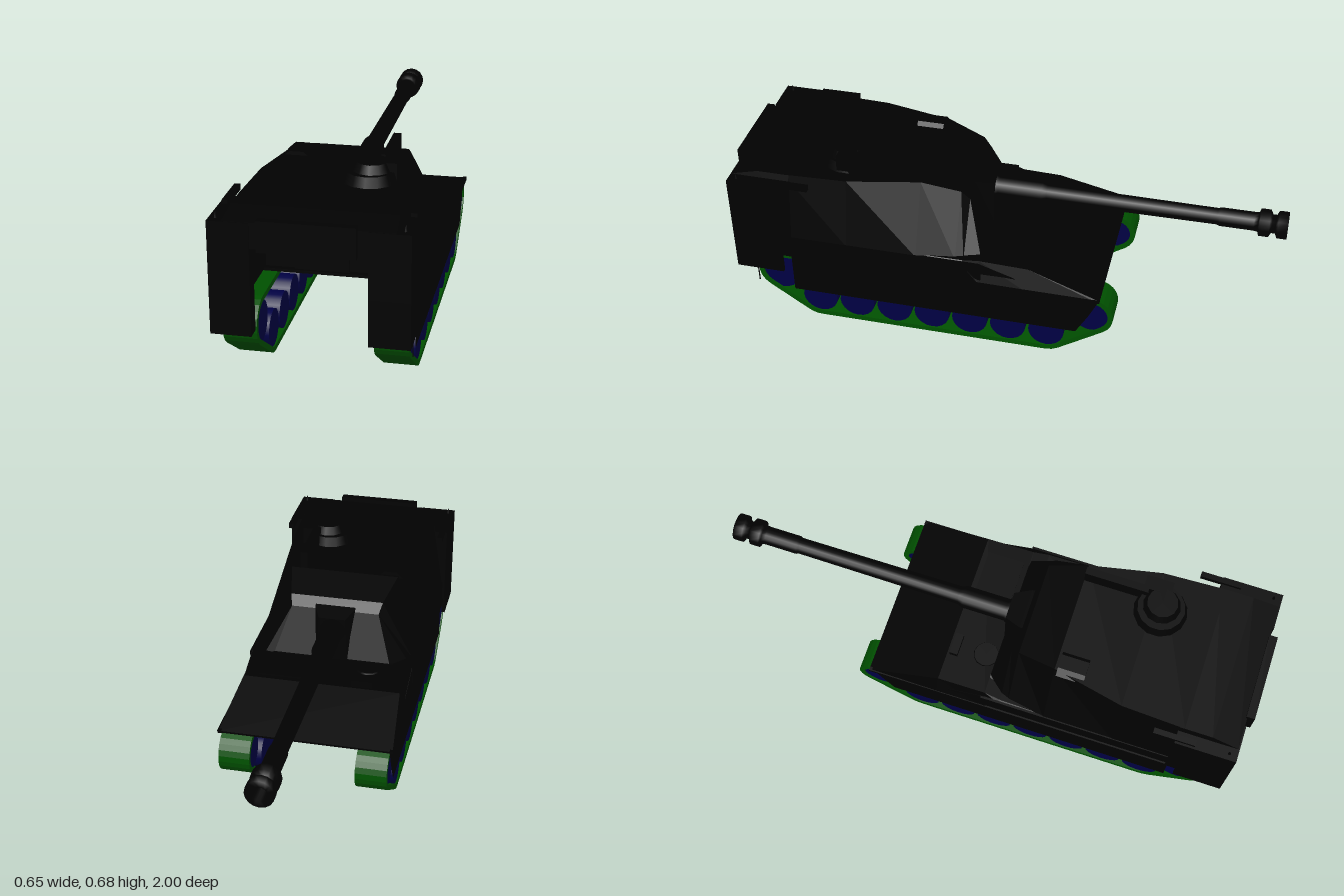
import * as THREE from 'three';

const mat = (name, color) => {
  const m = new THREE.MeshStandardMaterial({ color, side: THREE.DoubleSide });
  m.name = name;
  return m;
};

export function createModel() {
  const group = new THREE.Group();
  const black = mat('hull black', 0x010101);
  const green = mat('track green', 0x005000);
  const blue = mat('wheel blue', 0x000042);

  const add = (name, geo, m = black) => {
    const mesh = new THREE.Mesh(geo, m);
    mesh.name = name;
    group.add(mesh);
    return mesh;
  };
  const box = (name, x0, x1, y0, y1, z0, z1) =>
    add(name, new THREE.BoxGeometry(x1 - x0, y1 - y0, z1 - z0))
      .position.set((x0 + x1) / 2, (y0 + y1) / 2, (z0 + z1) / 2);
  const disc = (name, x, y, z, rTop, rBottom, h, sides = 12) =>
    add(name, new THREE.CylinderGeometry(rTop, rBottom, h, sides)).position.set(x, y + h / 2, z);

  // Side profile of (z, y) points, extruded across x
  const slab = (name, pts, x0, x1, m = black, hole = null) => {
    const shape = new THREE.Shape(pts.map(([z, y]) => new THREE.Vector2(z, y)));
    if (hole) shape.holes.push(new THREE.Path(hole.map(([z, y]) => new THREE.Vector2(z, y))));
    const geo = new THREE.ExtrudeGeometry(shape, { depth: x1 - x0, bevelEnabled: false });
    geo.rotateY(-Math.PI / 2).translate(x1, 0, 0);
    return add(name, geo, m);
  };

  // Trapezoid sections [z, bottom half width, top half width, bottom y, top y]
  const loft = (name, sections) => {
    const rings = sections.map(([z, hb, ht, yb, yt]) =>
      [[hb, yb, z], [ht, yt, z], [-ht, yt, z], [-hb, yb, z]]);
    const pos = [];
    const quad = (a, b, c, d) => pos.push(...a, ...b, ...c, ...a, ...c, ...d);
    for (let i = 0; i < rings.length - 1; i++) {
      for (let k = 0; k < 4; k++) {
        const n = (k + 1) % 4;
        quad(rings[i][k], rings[i][n], rings[i + 1][n], rings[i + 1][k]);
      }
    }
    quad(...rings[rings.length - 1]);
    quad(...[...rings[0]].reverse());
    const geo = new THREE.BufferGeometry();
    geo.setAttribute('position', new THREE.Float32BufferAttribute(pos, 3));
    geo.computeVertexNormals();
    return add(name, geo);
  };

  // Belt outline wrapped around four circles [z, y, radius]
  const belt = (inset) => {
    const c = [[-0.19, 0.085, 0.085], [0.674, 0.085, 0.085], [0.82, 0.185, 0.085], [-0.355, 0.19, 0.08]]
      .map(([z, y, r]) => [z, y, r - inset]);
    const normal = (a, b) => {
      const dz = b[0] - a[0], dy = b[1] - a[1];
      return Math.atan2(dy, dz) - Math.acos((a[2] - b[2]) / Math.hypot(dz, dy));
    };
    const pts = [];
    c.forEach((p, i) => {
      const start = normal(c[(i + 3) % 4], p);
      let sweep = normal(p, c[(i + 1) % 4]) - start;
      while (sweep < 0) sweep += Math.PI * 2;
      const steps = Math.max(2, Math.ceil(sweep / 0.3));
      for (let k = 0; k <= steps; k++) {
        const t = start + (sweep * k) / steps;
        pts.push([p[0] + p[2] * Math.cos(t), p[1] + p[2] * Math.sin(t)]);
      }
    });
    return pts;
  };

  // Running gear
  const wheels = [[0.82, 0.178, 0.072], [-0.355, 0.185, 0.062]];
  for (let i = 0; i < 7; i++) wheels.push([0.674 - 0.144 * i, 0.085, 0.066]);
  for (const s of [-1, 1]) {
    const span = (a, b) => (s > 0 ? [a, b] : [-b, -a]);
    slab('track', belt(0), ...span(0.191, 0.305), green, belt(0.019));
    for (const [z, y, r] of wheels) {
      const w = add('wheel', new THREE.CylinderGeometry(r, r, 0.104, 20), blue);
      w.rotation.z = Math.PI / 2;
      w.position.set(s * 0.248, y, z);
    }
    // Skirt and fender beside each track
    slab('skirt', [[-0.3, 0.11], [0.77, 0.11], [0.77, 0.36], [0.06, 0.36], [-0.12, 0.3],
      [-0.385, 0.275], [-0.345, 0.19]], ...span(0.3055, 0.307));
    slab('fender', [[-0.385, 0.268], [0.8, 0.275], [0.8, 0.287], [-0.385, 0.28]], ...span(0.3055, 0.32));
    slab('sideWall', [[0.05, 0.28], [0.8, 0.28], [0.8, 0.36], [0.05, 0.36]], ...span(0.307, 0.314));
    // Rear stowage boxes: upper body, rear drop and outer cheek, open inside behind the track
    box('stowageBox', ...span(0.188, 0.323), 0.36, 0.587, 0.76, 0.98);
    box('stowageRear', ...span(0.188, 0.323), 0.2, 0.362, 0.93, 0.98);
    slab('stowageCheek', [[0.8, 0.28], [0.8, 0.2], [0.97, 0.2], [0.97, 0.37], [0.76, 0.37], [0.76, 0.28]],
      ...span(0.31, 0.323));
    box('boxRim', ...span(0.295, 0.315), 0.58, 0.6, 0.68, 0.83);
    disc('boxSpike', s * 0.3, 0.585, 0.95, 0.001, 0.006, 0.022, 6);
  }
  box('hangingStrap', 0.317, 0.319, 0.14, 0.21, 0.9, 0.904);

  // Hull: wide deck over the tracks and a narrow sloping belly
  loft('upperHull', [
    [-0.385, 0.32, 0.316, 0.27, 0.277],
    [-0.12, 0.32, 0.292, 0.274, 0.355],
    [0.06, 0.318, 0.292, 0.278, 0.361],
    [0.12, 0.312, 0.3, 0.35, 0.361],
    [0.8, 0.312, 0.31, 0.352, 0.362],
  ]);
  slab('belly', [[-0.385, 0.272], [-0.32, 0.245], [-0.1, 0.245], [0.78, 0.355]], -0.188, 0.188);
  disc('driverHatch', -0.15, 0.352, 0.02, 0.045, 0.05, 0.012);
  box('driverPeriscope', -0.19, -0.11, 0.345, 0.378, -0.11, -0.08);
  box('engineCover', 0.04, 0.24, 0.35, 0.362, -0.1, 0.04);

  // Turret
  loft('turret', [
    [0.06, 0.26, 0.22, 0.35, 0.365],
    [0.12, 0.28, 0.165, 0.35, 0.535],
    [0.15, 0.29, 0.175, 0.352, 0.57],
    [0.29, 0.312, 0.205, 0.354, 0.61],
    [0.55, 0.312, 0.26, 0.354, 0.61],
    [0.78, 0.312, 0.27, 0.354, 0.61],
  ]);
  loft('turretBustle', [
    [0.76, 0.3, 0.27, 0.5, 0.61],
    [0.88, 0.3, 0.27, 0.5, 0.61],
    [0.975, 0.3, 0.275, 0.5, 0.588],
  ]);
  box('rearRack', -0.16, 0.155, 0.5, 0.605, 0.97, 1);
  box('rearDoor', -0.09, 0.09, 0.36, 0.5, 0.78, 0.79);
  loft('roofHatch', [[0.3, 0.05, 0.025, 0.6, 0.623], [0.4, 0.05, 0.025, 0.6, 0.623]]).position.x = -0.175;

  // Commander cupola and roof weapon
  disc('cupola', 0.118, 0.6, 0.58, 0.085, 0.1, 0.045, 14);
  disc('cupolaHatch', 0.125, 0.64, 0.58, 0.055, 0.07, 0.035, 12);
  box('cupolaSight', 0.16, 0.21, 0.6, 0.675, 0.5, 0.6);
  box('roofWeapon', 0.145, 0.172, 0.6, 0.675, 0.29, 0.52);

  // Mantlet, barrel and muzzle brake, turned about the gun axis
  loft('mantlet', [[0.06, 0.06, 0.05, 0.36, 0.53], [0.12, 0.08, 0.075, 0.36, 0.545], [0.2, 0.09, 0.08, 0.36, 0.565]]);
  const gun = [[0, -0.15], [0.048, -0.15], [0.048, -0.06], [0.041, -0.05], [0.041, 0.11], [0.033, 0.13],
    [0.03, 0.75], [0.034, 0.76], [0.034, 0.88], [0.036, 0.895], [0.05, 0.9], [0.05, 0.935], [0.034, 0.943],
    [0.034, 0.957], [0.05, 0.965], [0.05, 1], [0.028, 1], [0.024, 0.9], [0, 0.9]];
  const gunGeo = new THREE.LatheGeometry(gun.map(([r, l]) => new THREE.Vector2(r, l)), 16);
  gunGeo.rotateX(-Math.PI / 2);
  add('gunBarrel', gunGeo).position.set(-0.003, 0.482, 0);

  return group;
}
